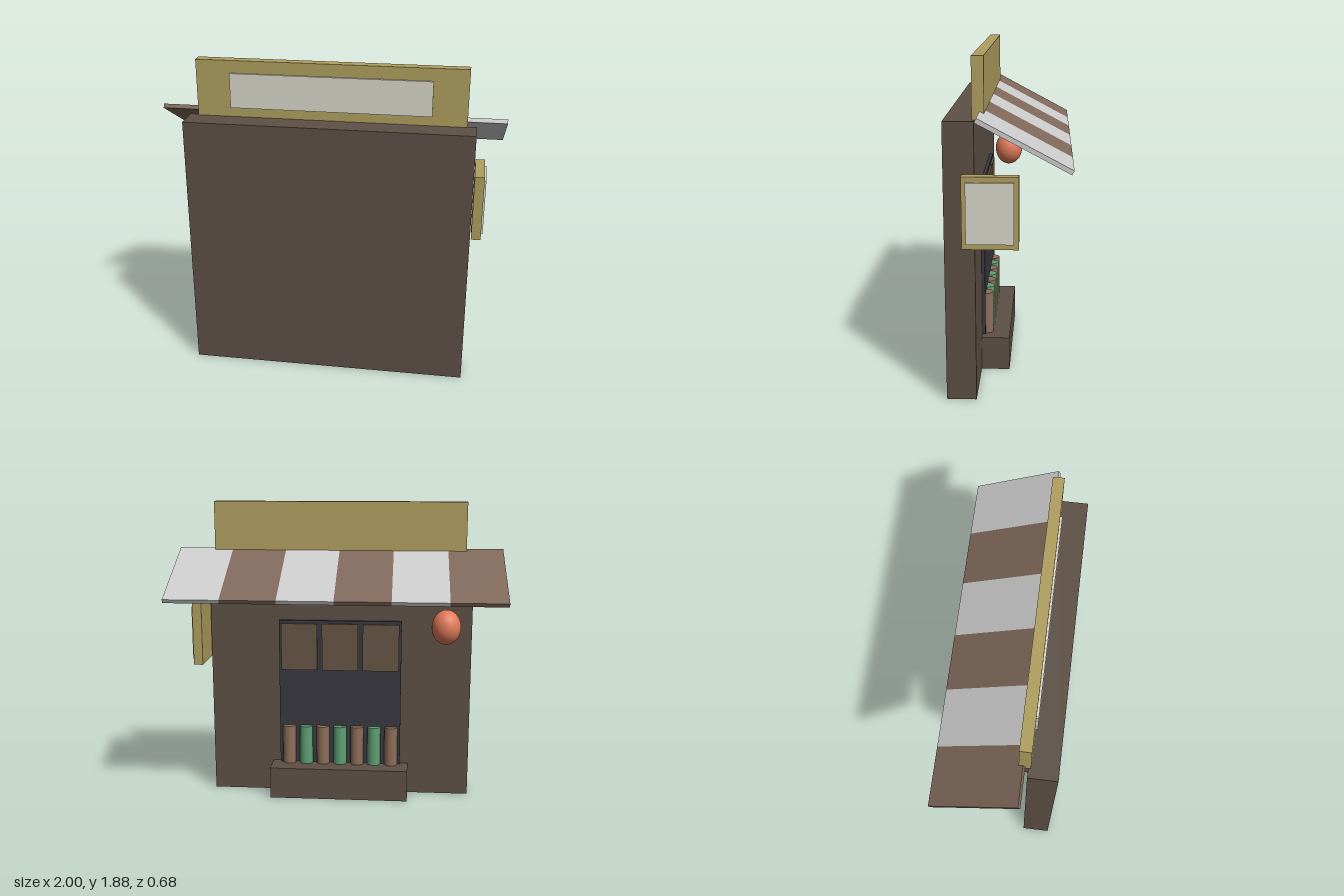
import * as THREE from 'three';

const mat = (color) => new THREE.MeshStandardMaterial({ color });
const wood = mat(0x5d5046);
const gold = mat(0xb09f5f);
const cream = mat(0xd9d7ca);
const white = mat(0xe8e7e5);
const awningBrown = mat(0x80695b);
const dark = mat(0x38383f);
const cloth = mat(0x665545);
const bottleBrown = mat(0x8d6e5a);
const bottleGreen = mat(0x5f9f74);
const orange = mat(0xe07a58);

export function createModel() {
  const group = new THREE.Group();

  const add = (parent, name, geometry, material, x, y, z) => {
    const mesh = new THREE.Mesh(geometry, material);
    mesh.name = name;
    mesh.position.set(x, y, z);
    parent.add(mesh);
    return mesh;
  };
  // Box given by its [min, max] range on each axis
  const box = (name, material, [x0, x1], [y0, y1], [z0, z1]) =>
    add(group, name, new THREE.BoxGeometry(x1 - x0, y1 - y0, z1 - z0), material,
      (x0 + x1) / 2, (y0 + y1) / 2, (z0 + z1) / 2);

  // Wall, window backing and counter
  box('wall', wood, [-0.83, 0.83], [0, 1.555], [0.175, 0.34]);
  box('windowPanel', dark, [-0.39, 0.39], [0.1, 1.14], [0.155, 0.18]);
  box('counter', wood, [-0.44, 0.44], [0, 0.2], [0.01, 0.175]);

  // Three hanging cloths across the top of the window
  for (let i = -1; i <= 1; i++) {
    const x = i * 0.26;
    box('curtain', cloth, [x - 0.115, x + 0.115], [0.82, 1.12], [0.143, 0.156]);
  }

  // Row of bottles on the counter
  const bottle = new THREE.CylinderGeometry(0.042, 0.042, 0.25, 24);
  for (let i = 0; i < 7; i++) {
    add(group, 'bottle', bottle, i % 2 ? bottleGreen : bottleBrown,
      (i - 3) * 0.11, 0.325, 0.152);
  }

  // Sloping awning made of six stripes
  const awning = new THREE.Group();
  awning.name = 'awning';
  awning.position.set(0, 1.459, -0.09);
  awning.rotation.x = -0.49;
  const stripe = new THREE.BoxGeometry(1 / 3, 0.025, 0.553);
  for (let i = 0; i < 6; i++) {
    add(awning, 'awningStripe', stripe, i % 2 ? white : awningBrown, (i - 2.5) / 3, 0, 0);
  }
  group.add(awning);

  // Roof sign with a raised face
  box('roofSign', gold, [-0.778, 0.778], [1.545, 1.885], [0.125, 0.19]);
  box('roofSignFace', cream, [-0.58, 0.58], [1.61, 1.812], [0.18, 0.202]);

  // Side sign facing outwards
  box('sideSign', gold, [0.837, 0.893], [0.89, 1.28], [-0.06, 0.24]);
  box('sideSignFace', cream, [0.88, 0.903], [0.92, 1.25], [-0.035, 0.218]);

  // Oval lantern
  const lantern = add(group, 'lantern', new THREE.SphereGeometry(0.09, 32, 20), orange,
    -0.664, 1.127, 0.061);
  lantern.scale.y = 1.2;

  return group;
}
